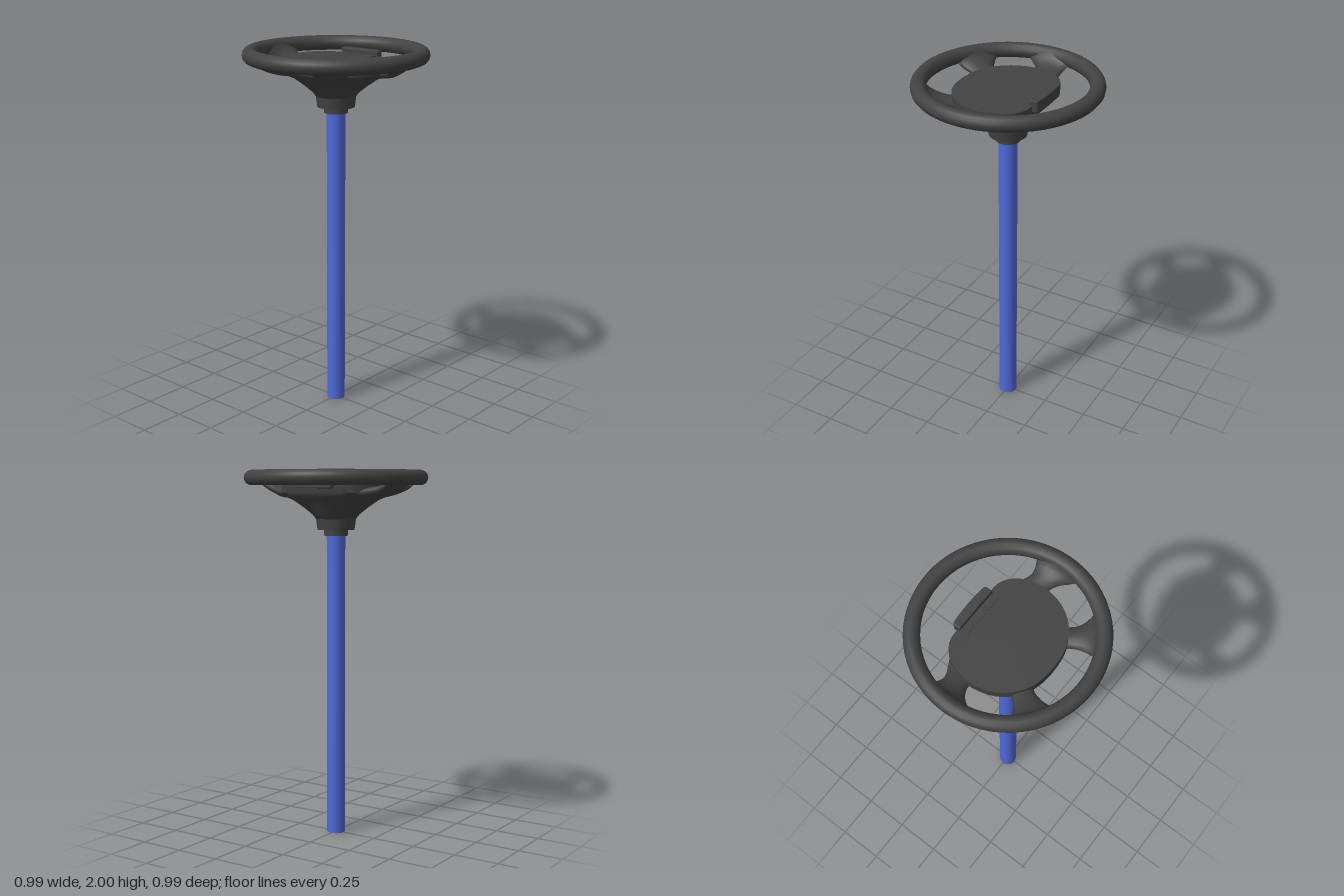
import * as THREE from 'three';
import { toCreasedNormals } from 'three/addons/utils/BufferGeometryUtils.js';

const V = (x, y, z) => new THREE.Vector3(x, y, z);
const black = new THREE.MeshStandardMaterial({ color: 0x424242 });
const blue = new THREE.MeshStandardMaterial({ color: 0x5068d8 });

// Skins a stack of equal-length rings and closes both ends
function loft(rings, crease = 0.6) {
  const n = rings[0].length, last = (rings.length - 1) * n;
  const pos = [], index = [];
  for (const ring of rings) for (const p of ring) pos.push(p.x, p.y, p.z);
  for (const ring of [rings[0], rings[rings.length - 1]]) {
    const c = ring.reduce((sum, p) => sum.add(p), V(0, 0, 0)).divideScalar(n);
    pos.push(c.x, c.y, c.z);
  }
  for (let i = 0; i < n; i++) {
    const k = (i + 1) % n;
    for (let j = 0; j < last; j += n) {
      index.push(j + i, j + n + i, j + k, j + k, j + n + i, j + n + k);
    }
    index.push(last + n, i, k, last + n + 1, last + k, last + i);
  }
  const g = new THREE.BufferGeometry();
  g.setAttribute('position', new THREE.Float32BufferAttribute(pos, 3));
  g.setIndex(index);
  return toCreasedNormals(g, crease);
}

// Spoke between two plan curves a and b (hub to rim), with an oval section that rises outwards
function spoke(a, b, side) {
  const curve = pts => new THREE.CatmullRomCurve3(pts.map(([x, z]) => V(x * side, 0, z)));
  const ca = curve(side > 0 ? a : b), cb = curve(side > 0 ? b : a);
  const rings = [];
  for (let j = 0; j <= 10; j++) {
    const u = j / 10, pa = ca.getPoint(u), pb = cb.getPoint(u);
    const mid = pa.clone().add(pb).multiplyScalar(0.5), half = pb.sub(pa).multiplyScalar(0.5);
    const y = 1.878 + 0.077 * u * u, ring = [];
    for (let i = 0; i < 16; i++) {
      const t = i / 16 * Math.PI * 2;
      ring.push(mid.clone().addScaledVector(half, Math.cos(t)).setY(y + 0.029 * Math.sin(t)));
    }
    rings.push(ring);
  }
  return loft(rings, 1.2);
}

export function createModel() {
  const model = new THREE.Group();
  const add = (name, geometry, material = black) => {
    const mesh = new THREE.Mesh(geometry, material);
    mesh.name = name;
    model.add(mesh);
    return mesh;
  };

  // Column and the collar on top of it
  add('column', new THREE.CylinderGeometry(0.05, 0.05, 1.66, 32).translate(0, 0.83, 0), blue);
  add('collar', new THREE.CylinderGeometry(0.065, 0.065, 0.04, 32).translate(0, 1.67, 0));
  add('hubNeck', new THREE.CylinderGeometry(0.108, 0.1, 0.06, 32).translate(0, 1.712, 0));

  // Rim
  add('rim', new THREE.TorusGeometry(0.452, 0.041, 14, 64).rotateX(Math.PI / 2).translate(0, 1.959, 0));

  // Hub: a round base flaring into the flat pad
  const right = [[0.3, 0], [0.275, 0.11], [0.22, 0.19], [0.13, 0.25], [0, 0.27]];
  const rear = [[0, -0.205], [0.12, -0.205], [0.19, -0.198], [0.25, -0.155], [0.285, -0.09]];
  const mirror = pts => pts.filter(p => p[0] > 0).reverse().map(([x, z]) => [-x, z]);
  const plan = [...right, ...mirror(right), ...mirror(rear), ...rear];
  const outline = new THREE.CatmullRomCurve3(plan.map(([x, z]) => V(x, 0, z)), true)
    .getSpacedPoints(64).slice(0, 64);
  const level = (y, t, r = 0.125) => outline.map(p =>
    p.clone().setLength(r).lerp(p, t).setY(y));
  add('hub', loft([
    level(1.74, 0, 0.108), level(1.762, 0), level(1.8, 0.28), level(1.84, 0.62),
    level(1.86, 0.9), level(1.88, 1), level(1.935, 1),
  ]));

  // Two side spokes and two lower spokes
  for (const side of [1, -1]) {
    const word = side > 0 ? 'left' : 'right';
    add(word + 'SideSpoke', spoke(
      [[0.19, -0.19], [0.28, -0.14], [0.34, -0.113], [0.39, -0.127], [0.42, -0.15]],
      [[0.2, 0.03], [0.3, 0.0], [0.36, 0.025], [0.4, 0.08], [0.415, 0.11]], side));
    add(word + 'LowerSpoke', spoke(
      [[0.15, 0.12], [0.22, 0.19], [0.26, 0.235], [0.32, 0.257], [0.35, 0.262]],
      [[0.06, 0.2], [0.13, 0.25], [0.155, 0.31], [0.158, 0.38], [0.155, 0.41]], side));
  }

  // Raised bar at the back of the pad, with a low lip in front of it
  const bar = new THREE.Shape();
  bar.moveTo(-0.124, 0.19).lineTo(0.124, 0.19).lineTo(0.124, 0.222);
  bar.quadraticCurveTo(0.122, 0.234, 0.105, 0.236).quadraticCurveTo(0, 0.246, -0.105, 0.236);
  bar.quadraticCurveTo(-0.122, 0.234, -0.124, 0.222);
  add('rearBar', new THREE.ExtrudeGeometry(bar, {
    depth: 0.05, bevelThickness: 0.006, bevelSize: 0.004, bevelOffset: -0.004, bevelSegments: 2,
  }).rotateX(-Math.PI / 2).translate(0, 1.909, 0));
  add('barLip', new THREE.BoxGeometry(0.23, 0.034, 0.045).translate(0, 1.922, -0.1725));

  return model;
}
